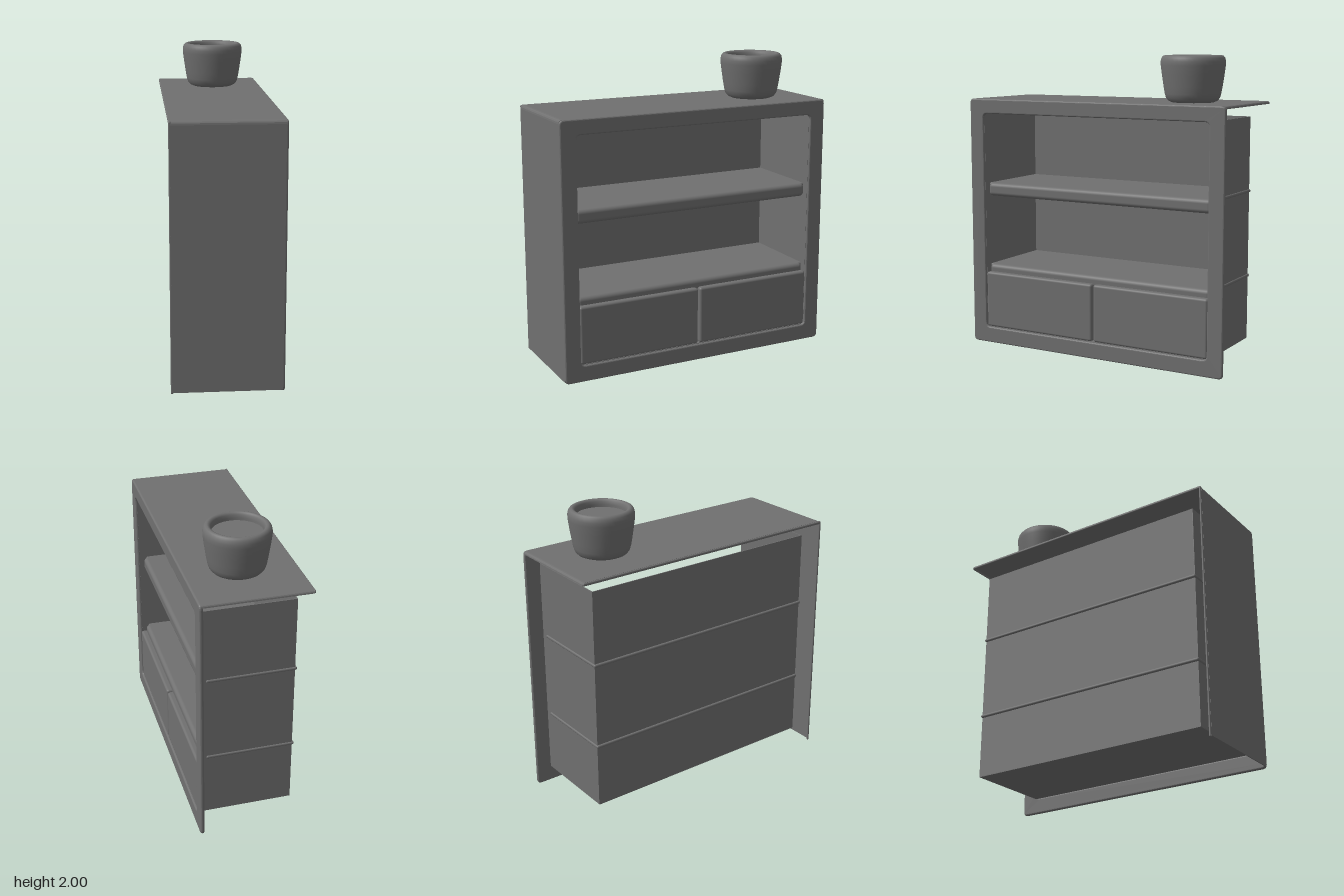
import * as THREE from 'three';
import { RoundedBoxGeometry } from 'three/addons/geometries/RoundedBoxGeometry.js';

const mat = new THREE.MeshStandardMaterial({ color: 0x707070, side: THREE.DoubleSide });

function add(parent, name, geometry, x = 0, y = 0, z = 0) {
  const mesh = new THREE.Mesh(geometry, mat);
  mesh.name = name;
  mesh.position.set(x, y, z);
  parent.add(mesh);
  return mesh;
}

// Box given by its limits; a radius rounds the edges
function block(parent, name, [x0, x1], [y0, y1], [z0, z1], radius = 0) {
  const size = [x1 - x0, y1 - y0, z1 - z0];
  const geometry = radius
    ? new RoundedBoxGeometry(...size, 3, radius)
    : new THREE.BoxGeometry(...size);
  return add(parent, name, geometry, (x0 + x1) / 2, (y0 + y1) / 2, (z0 + z1) / 2);
}

// Rectangle with rounded corners
function roundedRect(target, hw, y0, y1, r) {
  target.moveTo(-hw + r, y0);
  target.lineTo(hw - r, y0).quadraticCurveTo(hw, y0, hw, y0 + r);
  target.lineTo(hw, y1 - r).quadraticCurveTo(hw, y1, hw - r, y1);
  target.lineTo(-hw + r, y1).quadraticCurveTo(-hw, y1, -hw, y1 - r);
  target.lineTo(-hw, y0 + r).quadraticCurveTo(-hw, y0, -hw + r, y0);
  return target;
}

// Extrude a (-z, y) outline along x
function extrudeX(shape, x0, options) {
  const geometry = new THREE.ExtrudeGeometry(shape, { curveSegments: 4, ...options });
  geometry.rotateY(Math.PI / 2);
  geometry.translate(x0, 0, 0);
  return geometry;
}

export function createModel() {
  const model = new THREE.Group();
  model.name = 'bookcase';

  // Front frame around the opening
  const frame = roundedRect(new THREE.Shape(), 0.955, 0, 1.7, 0.03);
  frame.holes.push(roundedRect(new THREE.Path(), 0.845, 0.11, 1.6, 0.03));
  add(model, 'frontFrame', extrudeX(frame, 0.336, {
    depth: 0.002, bevelSize: 0.01, bevelThickness: 0.012, bevelOffset: -0.01, bevelSegments: 4,
  }));

  // Outer shell: a top and one side joined by a rounded corner
  const shell = new THREE.Shape();
  shell.moveTo(-0.955, 0.012);
  shell.lineTo(-0.955, 1.675).quadraticCurveTo(-0.955, 1.7, -0.93, 1.7);
  shell.lineTo(0.935, 1.7).quadraticCurveTo(0.955, 1.7, 0.955, 1.682);
  shell.lineTo(0.948, 1.682).quadraticCurveTo(0.948, 1.694, 0.935, 1.694);
  shell.lineTo(-0.93, 1.694).quadraticCurveTo(-0.949, 1.694, -0.949, 1.675);
  shell.lineTo(-0.949, 0.012);
  add(model, 'outerShell', extrudeX(shell, -0.347, { depth: 0.685, bevelEnabled: false }));

  // Rounded rear edges of the shell
  block(model, 'topRearEdge', [-0.356, -0.34], [1.68, 1.699], [-0.953, 0.953], 0.007);
  block(model, 'sideRearEdge', [-0.356, -0.34], [0.005, 1.695], [0.94, 0.954], 0.006);

  // Inner compartment, open at the top
  const inner = new THREE.Group();
  inner.name = 'innerCompartment';
  model.add(inner);
  block(inner, 'backPanel', [-0.283, -0.277], [0.11, 1.6], [-0.848, 0.848]);
  block(inner, 'floor', [-0.283, 0.335], [0.107, 0.113], [-0.848, 0.848]);
  for (const s of [-1, 1]) {
    add(inner, 'sideWall', new THREE.BoxGeometry(0.618, 1.49, 0.006), 0.026, 0.855, s * 0.847);
  }

  // Shelves: thin top, hollow below, with a rounded front lip and end lips
  for (const [y0, y1] of [[1.03, 1.12], [0.465, 0.55]]) {
    const shelf = new THREE.Group();
    shelf.name = 'shelf';
    model.add(shelf);
    block(shelf, 'shelfTop', [-0.295, 0.285], [y1 - 0.022, y1], [-0.857, 0.857], 0.01);
    block(shelf, 'shelfLip', [0.245, 0.305], [y0, y1], [-0.845, 0.845], 0.027);
    for (const s of [-1, 1]) {
      add(shelf, 'shelfEnd', new THREE.BoxGeometry(0.53, 0.07, 0.01), -0.01, (y0 + y1) / 2, s * 0.838);
    }
  }

  // Pair of drawers
  for (const z of [[-0.003, 0.845], [-0.845, -0.015]]) {
    block(model, 'drawer', [0.1, 0.342], [0.113, 0.5], z, 0.016);
  }

  // Plant pot with a rolled rim
  const profile = [
    [0, 1.7], [0.135, 1.7], [0.158, 1.71], [0.173, 1.728], [0.181, 1.755], [0.189, 1.8], [0.201, 1.88],
    [0.208, 1.935], [0.209, 1.96], [0.204, 1.982], [0.194, 1.995], [0.181, 2], [0.169, 1.996],
    [0.161, 1.985], [0.158, 1.965], [0.157, 1.93],
  ].map(([r, y]) => new THREE.Vector2(r, y));
  const pot = new THREE.Group();
  pot.name = 'pot';
  pot.position.set(0.015, 0, -0.575);
  model.add(pot);
  add(pot, 'potBody', new THREE.LatheGeometry(profile, 40));
  add(pot, 'soil', new THREE.CircleGeometry(0.158, 40).rotateX(-Math.PI / 2), 0, 1.95, 0);

  return model;
}
